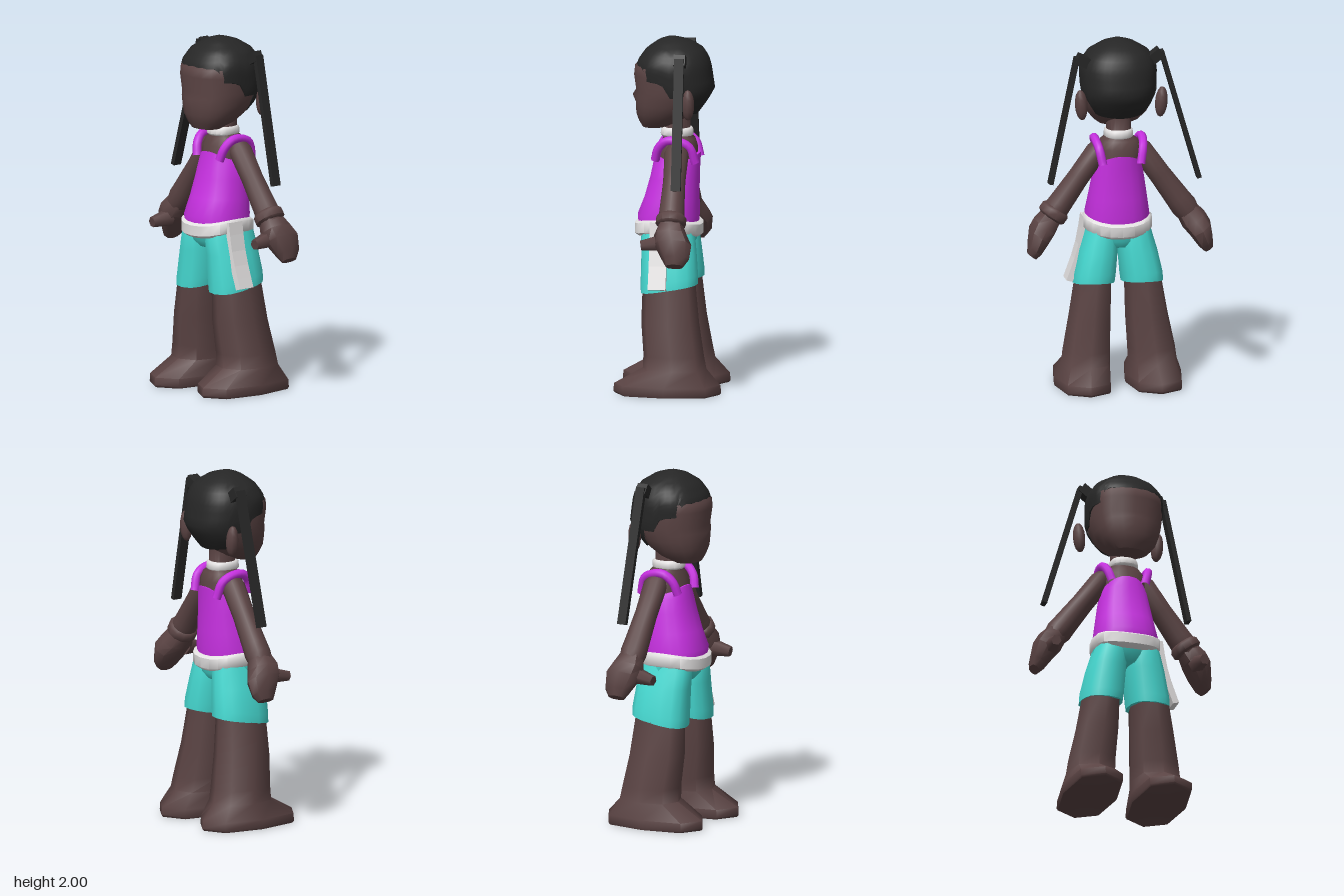
import * as THREE from 'three';
import { toCreasedNormals } from 'three/addons/utils/BufferGeometryUtils.js';

const material = (name, color) => {
  const m = new THREE.MeshStandardMaterial({ color });
  m.name = name;
  return m;
};

// Closed skin: point(angle, row) gives the ring points, both ends are capped.
// Angle 0 is the front, a quarter turn is +x.
function skin(n, rows, point, crease = 0.9) {
  const pos = [], index = [];
  for (let j = 0; j < rows; j++)
    for (let i = 0; i < n; i++) pos.push(...point((i / n) * Math.PI * 2, j));
  for (let j = 0; j < rows - 1; j++)
    for (let i = 0; i < n; i++) {
      const a = j * n + i, b = j * n + (i + 1) % n;
      index.push(a, b, b + n, a, b + n, a + n);
    }
  for (const j of [0, rows - 1]) {
    const c = pos.length / 3, mid = [0, 0, 0];
    for (let i = 0; i < n; i++) for (let k = 0; k < 3; k++) mid[k] += pos[(j * n + i) * 3 + k] / n;
    pos.push(...mid);
    for (let i = 0; i < n; i++) {
      const a = j * n + i, b = j * n + (i + 1) % n;
      if (j) index.push(c, a, b); else index.push(c, b, a);
    }
  }
  const g = new THREE.BufferGeometry();
  g.setAttribute('position', new THREE.Float32BufferAttribute(pos, 3));
  g.setIndex(index);
  return toCreasedNormals(g, crease);
}

// Rounded section: half width, front z, back z, centre x
function section(angle, rx, zf, zb, cx = 0, p = 2.3) {
  const bend = (v) => Math.sign(v) * Math.pow(Math.abs(v), 2 / p);
  return [cx + rx * bend(Math.sin(angle)), (zf + zb) / 2 + (zf - zb) / 2 * bend(Math.cos(angle))];
}

// Rows are [y, half width, front z, back z, centre x], from bottom to top
function loft(rows, { n = 16, p = 2.3, lift = () => 0, crease } = {}) {
  return skin(n, rows.length, (a, j) => {
    const [y, rx, zf, zb, cx] = rows[j];
    const [x, z] = section(a, rx, zf, zb, cx, p);
    return [x, y + lift(a, z, j), z];
  }, crease);
}

// Linear lookup in a table sorted by its first column
function lookup(table, v) {
  let i = 1;
  while (i < table.length - 1 && table[i][0] < v) i++;
  const a = table[i - 1], b = table[i];
  const t = THREE.MathUtils.clamp((v - a[0]) / (b[0] - a[0]), 0, 1);
  return a.map((s, k) => s + (b[k] - s) * t);
}

export function createModel() {
  const model = new THREE.Group();
  const brown = material('skin brown', 0x5a4343);
  const black = material('hair black', 0x262626);
  const purple = material('shirt purple', 0xc630e0);
  const teal = material('shorts teal', 0x46dad2);
  const white = material('trim white', 0xe2e0e0);
  const add = (name, geometry, mat, parent = model) => {
    const mesh = new THREE.Mesh(geometry, mat);
    mesh.name = name;
    parent.add(mesh);
    return mesh;
  };

  // Head, with a small nose on the front line
  const headRows = [
    [1.49, 0.09, 0.165, 0.03], [1.525, 0.13, 0.185, -0.06], [1.57, 0.165, 0.2, -0.12],
    [1.62, 0.185, 0.203, -0.17], [1.665, 0.197, 0.205, -0.2], [1.7, 0.204, 0.2, -0.215],
    [1.79, 0.208, 0.213, -0.21], [1.835, 0.205, 0.208, -0.2], [1.87, 0.19, 0.175, -0.18], [1.93, 0.13, 0.11, -0.12],
  ];
  const head = loft(headRows, { n: 20 });
  const hp = head.attributes.position;
  for (let i = 0; i < hp.count; i++)
    if (Math.abs(hp.getX(i)) < 0.01 && Math.abs(hp.getY(i) - 1.665) < 0.001 && hp.getZ(i) > 0.15) hp.setZ(i, 0.222);
  add('head', head, brown);

  // Hair cap with a stepped hairline
  const hairRows = [
    [1.565, 0.14, 0.16, -0.145], [1.645, 0.195, 0.19, -0.205], [1.71, 0.212, 0.2, -0.24],
    [1.83, 0.217, 0.2, -0.222], [1.87, 0.21, 0.188, -0.212], [1.93, 0.172, 0.145, -0.18],
    [1.98, 0.09, 0.075, -0.1], [2, 0.02, 0.02, -0.02],
  ];
  const hairline = [[0, 1.835], [0.75, 1.85], [0.9, 1.77], [1.4, 1.76], [1.5, 1.68], [1.9, 1.68], [2.05, 1.58], [Math.PI, 1.565]];
  const steps = 14;
  add('hair', skin(40, steps + 1, (a, j) => {
    const low = lookup(hairline, Math.min(a, Math.PI * 2 - a))[1];
    const y = low + (2 - low) * Math.sin((j / steps) * Math.PI / 2);
    const [, rx, zf, zb] = lookup(hairRows, y);
    const [x, z] = section(a, rx, zf, zb);
    return [x, y, z];
  }), black);

  // Neck, chest and collar
  add('chest', loft([
    [1.15, 0.13, 0.1, -0.14], [1.3, 0.118, 0.085, -0.15], [1.38, 0.128, 0.07, -0.145],
    [1.425, 0.105, 0.05, -0.13], [1.45, 0.07, 0.04, -0.105], [1.56, 0.07, 0.04, -0.105],
  ]), brown);
  add('collar', loft([
    [1.437, 0.075, 0.055, -0.115], [1.447, 0.083, 0.064, -0.122],
    [1.478, 0.08, 0.06, -0.12], [1.487, 0.072, 0.05, -0.11],
  ]), white);

  // Sleeveless shirt, cut lower under the arms
  add('shirt', loft([
    [0.92, 0.18, 0.185, -0.15], [0.99, 0.181, 0.192, -0.157], [1.09, 0.165, 0.153, -0.155],
    [1.2, 0.147, 0.122, -0.156], [1.28, 0.132, 0.105, -0.16], [1.35, 0.12, 0.092, -0.165],
  ], { n: 20, lift: (a, z, j) => j === 5 ? -0.045 * Math.sin(a) ** 2 : 0 }), purple);

  // Waistband, higher at the hips
  add('waistband', loft([
    [0.87, 0.18, 0.185, -0.16], [0.885, 0.195, 0.208, -0.178],
    [0.942, 0.195, 0.208, -0.178], [0.955, 0.183, 0.19, -0.16],
  ], { n: 20, lift: (a) => 0.028 * Math.sin(a) ** 2 }), white);
  add('shortsHips', loft([
    [0.81, 0.15, 0.12, -0.11], [0.85, 0.19, 0.155, -0.14], [0.93, 0.185, 0.17, -0.145],
  ]), teal);

  // Stripe on one side of the shorts
  const stripe = new THREE.Shape();
  stripe.moveTo(0.17, 0.97);
  for (const [x, y] of [[0.17, 0.85], [0.2, 0.74], [0.235, 0.65], [0.255, 0.595], [0.29, 0.605], [0.27, 0.66], [0.245, 0.73], [0.222, 0.81], [0.205, 0.9], [0.195, 0.97]])
    stripe.lineTo(x, y);
  const stripeGeometry = new THREE.ExtrudeGeometry(stripe, { depth: 0.1, bevelEnabled: false });
  add('sideStripe', stripeGeometry.translate(0, 0, 0), white);

  for (const [side, s] of [['left', 1], ['right', -1]]) {
    // Ear
    const ear = add(side + 'Ear', new THREE.SphereGeometry(1, 10, 8), brown);
    ear.scale.set(0.036, 0.088, 0.036);
    ear.position.set(s * 0.228, 1.65, -0.12);
    ear.rotation.z = -s * 0.08;

    // Pigtail: a short tie and a long flat strand
    const top = s > 0 ? [0.245, 1.915] : [-0.235, 1.935];
    const end = s > 0 ? [0.395, 1.19] : [-0.45, 1.19];
    const bar = (name, [x0, y0], [x1, y1], w, d) => {
      const m = add(name, new THREE.BoxGeometry(w, Math.hypot(x1 - x0, y1 - y0), d), black);
      m.position.set((x0 + x1) / 2, (y0 + y1) / 2, -0.073);
      m.rotation.z = Math.atan2(x0 - x1, y1 - y0);
    };
    bar(side + 'HairTie', [s * 0.15, 1.865], [top[0], top[1] - 0.005], 0.06, 0.065);
    bar(side + 'Pigtail', top, end, 0.026, 0.054);

    // Shirt strap over the shoulder
    const strap = new THREE.CatmullRomCurve3([
      [0.095, 1.31, 0.082], [0.115, 1.38, 0.062], [0.132, 1.425, 0.015],
      [0.134, 1.425, -0.05], [0.125, 1.39, -0.115], [0.108, 1.3, -0.145],
    ].map(([x, y, z]) => new THREE.Vector3(s * x, y, z)));
    add(side + 'Strap', new THREE.TubeGeometry(strap, 16, 0.025, 8), purple);

    // Arm and hand share one slanted axis
    const arm = new THREE.Group();
    arm.name = side + 'Arm';
    arm.position.set(s * 0.115, 1.375, 0);
    arm.rotation.z = s * 0.62;
    model.add(arm);
    add(side + 'Sleeve', loft([
      [-0.5, 0.062, 0.025, -0.11], [-0.44, 0.074, 0.03, -0.118], [-0.38, 0.07, 0.027, -0.114],
      [-0.2, 0.062, 0.02, -0.106], [-0.02, 0.062, 0.025, -0.112], [0.03, 0.045, 0.005, -0.09],
    ], { n: 12, p: 2 }), brown, arm);
    add(side + 'Hand', loft([
      [-0.71, 0.03, -0.03, -0.13, -s * 0.03], [-0.67, 0.048, -0.005, -0.16, -s * 0.02],
      [-0.59, 0.07, 0.04, -0.17, 0], [-0.53, 0.076, 0.045, -0.14, 0], [-0.47, 0.065, 0.025, -0.115, 0],
    ], { n: 8, p: 2.4 }), brown, arm);
    const thumb = add(side + 'Thumb', new THREE.CylinderGeometry(0.03, 0.05, 0.12, 6), brown, arm);
    thumb.position.set(-s * 0.025, -0.575, 0.06);
    thumb.rotation.x = 1.75;
    if (s > 0) add('wristCuff', loft([
      [-0.475, 0.07, 0.025, -0.113], [-0.462, 0.086, 0.042, -0.13],
      [-0.425, 0.086, 0.042, -0.13], [-0.41, 0.072, 0.028, -0.115],
    ], { n: 12, p: 2 }), brown, arm);

    // Shorts leg, hem higher at the back
    add(side + 'ShortsLeg', loft([
      [0.59, 0.114, 0.158, -0.165, s * 0.138], [0.64, 0.116, 0.16, -0.165, s * 0.133],
      [0.78, 0.107, 0.158, -0.155, s * 0.112], [0.87, 0.095, 0.162, -0.145, s * 0.098],
      [0.92, 0.085, 0.15, -0.135, s * 0.095],
    ], { n: 14, p: 2.6, lift: (a, z, j) => j < 2 ? -0.17 * z : 0 }), teal);

    // Leg flaring into a wide angular foot
    add(side + 'Leg', loft([
      [0, 0.155, 0.295, -0.295, s * 0.202], [0.012, 0.16, 0.305, -0.305, s * 0.202],
      [0.055, 0.16, 0.3, -0.3, s * 0.202], [0.145, 0.139, 0.14, -0.22, s * 0.19],
      [0.22, 0.135, 0.137, -0.205, s * 0.184], [0.4, 0.121, 0.152, -0.175, s * 0.162],
      [0.68, 0.1, 0.145, -0.145, s * 0.135],
    ], { n: 8, p: 2.6, crease: 1.1 }), brown);
  }
  return model;
}
